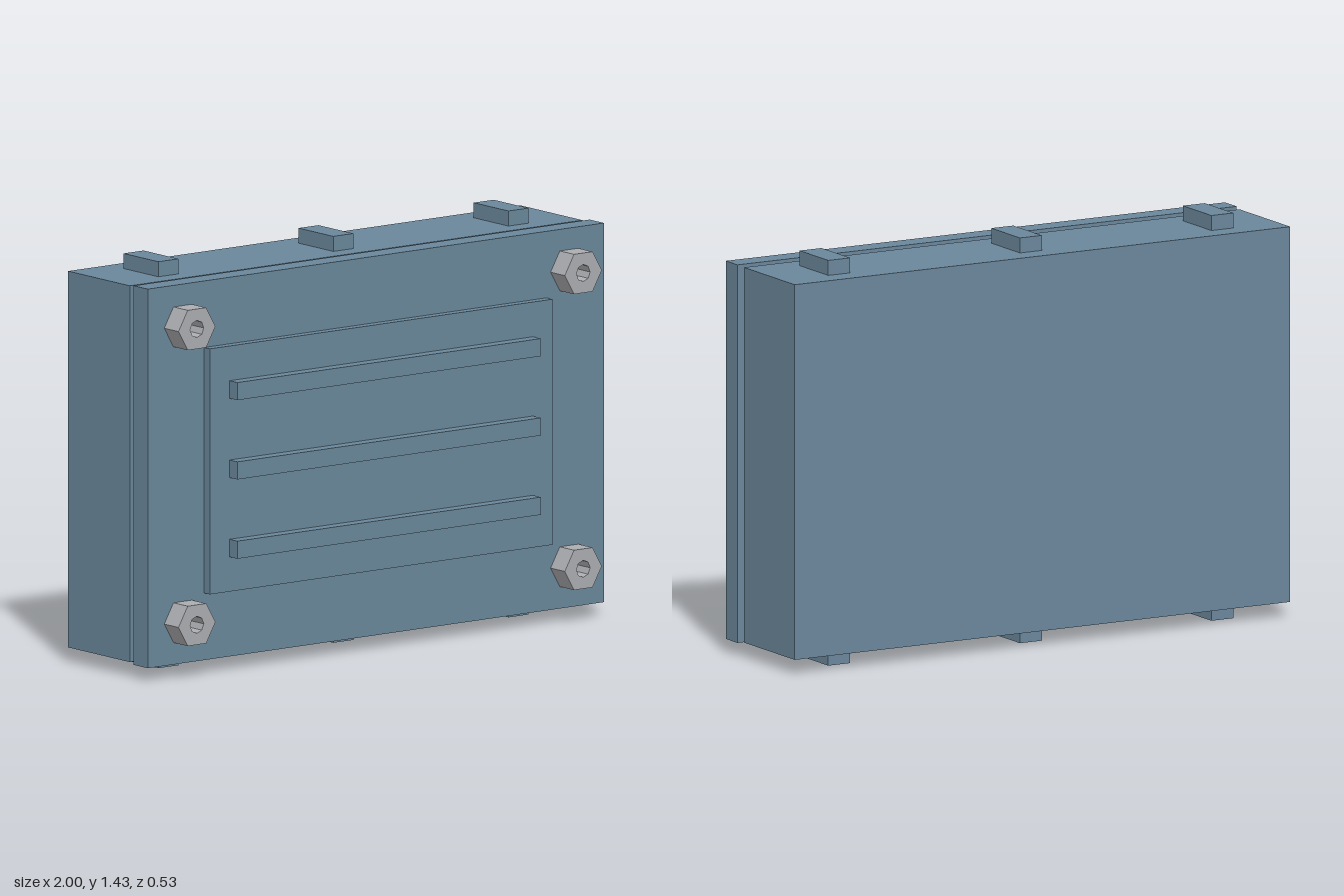
import * as THREE from 'three';

export function createModel() {
  const model = new THREE.Group();
  const blue = new THREE.MeshStandardMaterial({ color: 0x6a879b });
  blue.name = 'slate blue';
  const steel = new THREE.MeshStandardMaterial({ color: 0xacadb1 });
  steel.name = 'light steel';

  // Box given by its minimum and maximum on each axis
  function box(name, x0, x1, y0, y1, z0, z1) {
    const mesh = new THREE.Mesh(new THREE.BoxGeometry(x1 - x0, y1 - y0, z1 - z0), blue);
    mesh.position.set((x0 + x1) / 2, (y0 + y1) / 2, (z0 + z1) / 2);
    mesh.name = name;
    model.add(mesh);
  }

  // Main body, front plate and raised panel
  box('body', -0.995, 0.99, 0.053, 1.377, -0.267, 0.08);
  box('frontPlate', -1, 1, 0.048, 1.382, 0.108, 0.188);
  box('panel', -0.754, 0.749, 0.284, 1.148, 0.188, 0.221);

  // Horizontal ribs on the panel
  for (const y of [0.437, 0.716, 0.995]) {
    box('rib', -0.668, 0.663, y - 0.031, y + 0.031, 0.221, 0.265);
  }

  // Tabs along the top and bottom of the body
  for (const x of [-0.77, -0.003, 0.765]) {
    box('topTab', x - 0.044, x + 0.044, 1.377, 1.43, -0.187, 0.009);
    box('bottomTab', x - 0.044, x + 0.044, 0, 0.053, -0.187, 0.009);
  }

  // Hexagonal corner nuts with a through hole
  const polygon = (Type, r, n) => new Type(Array.from({ length: n }, (_, i) => {
    const a = (i / n) * Math.PI * 2;
    return new THREE.Vector2(r * Math.cos(a), r * Math.sin(a));
  }));
  const hex = polygon(THREE.Shape, 0.081, 6);
  hex.holes.push(polygon(THREE.Path, 0.03, 8));
  const nutGeometry = new THREE.ExtrudeGeometry(hex, { depth: 0.08, bevelEnabled: false });
  for (const x of [-0.847, 0.847]) {
    for (const y of [0.195, 1.236]) {
      const nut = new THREE.Mesh(nutGeometry, steel);
      nut.position.set(x, y, 0.188);
      nut.name = 'cornerNut';
      model.add(nut);
    }
  }
  return model;
}
